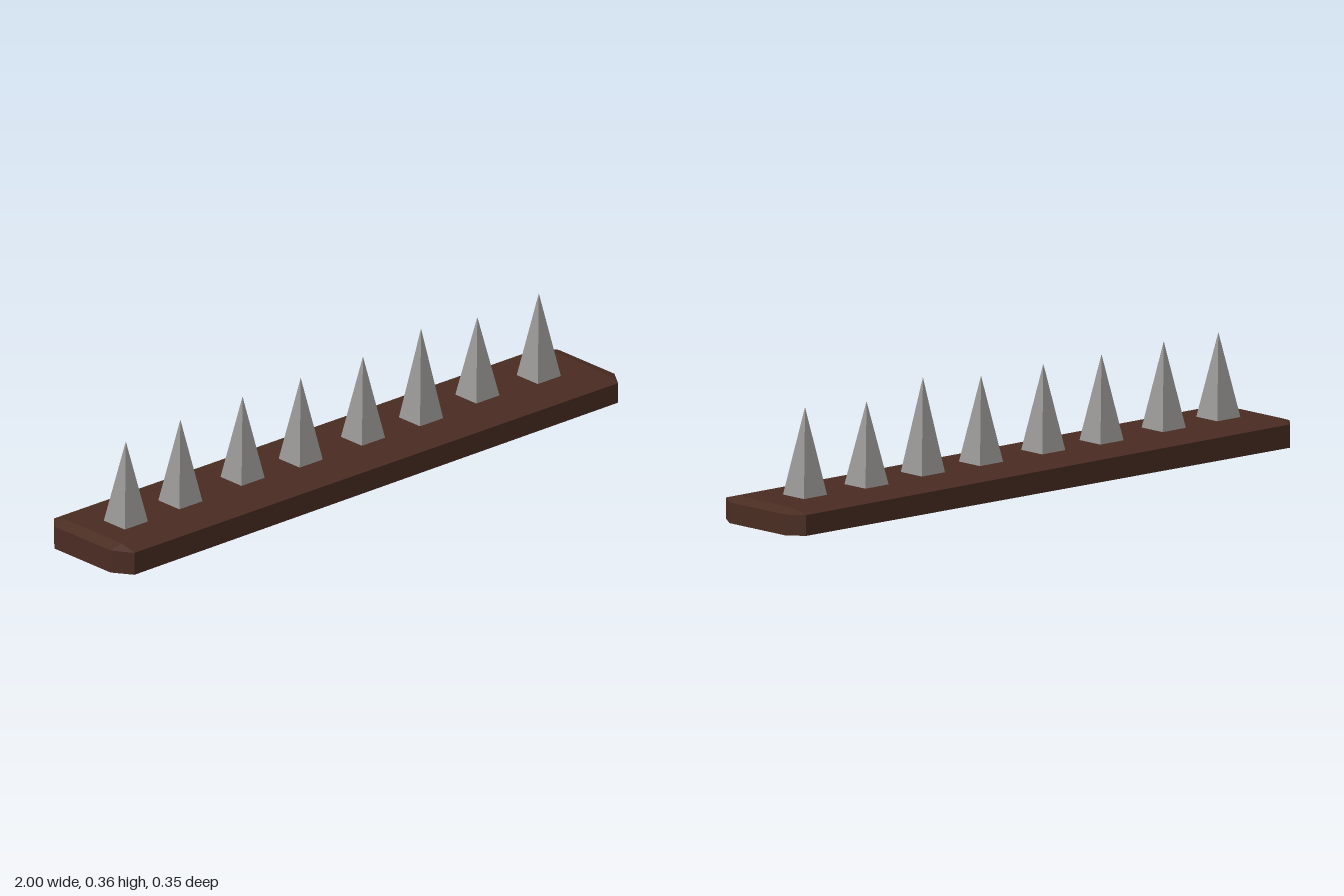
import * as THREE from 'three';

const wood = new THREE.MeshStandardMaterial({ color: 0x4a2c22, side: THREE.DoubleSide });
wood.name = 'dark brown wood';
const metal = new THREE.MeshStandardMaterial({ color: 0x999795 });
metal.name = 'grey metal';

// height of the slightly tilted top surface
const topY = (x) => 0.079 - 0.004 * x;

// give every face its own normal
function faceted(geometry) {
  const flat = geometry.index ? geometry.toNonIndexed() : geometry;
  flat.computeVertexNormals();
  return flat;
}

// hollow plank: clipped-corner outline, upright walls, sloped rim, flat top, open below
function plankGeometry() {
  const outline = [
    [1, 0.115], [1, -0.128], [0.96, -0.175], [-0.96, -0.175],
    [-1, -0.128], [-1, 0.115], [-0.96, 0.175], [0.96, 0.175],
  ];
  const rings = [
    outline.map(([x, z]) => [x, 0, z]),
    outline.map(([x, z]) => [x, topY(x) - 0.013, z]),
    outline.map(([x, z]) => {
      const ix = Math.sign(x) * 0.96;
      return [ix, topY(ix), z > 0 ? 0.12 : -0.125];
    }),
    outline.map(() => [0, topY(0), 0]),
  ];
  const n = outline.length;
  const index = [];
  for (let r = 0; r < rings.length - 1; r++) {
    for (let i = 0; i < n; i++) {
      const a = r * n + i, b = r * n + (i + 1) % n;
      index.push(a, b, b + n);
      if (r < 2) index.push(a, b + n, a + n);
    }
  }
  const geometry = new THREE.BufferGeometry();
  geometry.setAttribute('position', new THREE.Float32BufferAttribute(rings.flat(2), 3));
  geometry.setIndex(index);
  return faceted(geometry);
}

// four-sided spike standing on the plank
function makeSpike(x, z, tip) {
  const base = topY(x) - 0.001;
  const cone = new THREE.ConeGeometry(0.046 * Math.SQRT2, tip - base, 4, 1, true);
  cone.rotateY(Math.PI / 4);
  const spike = new THREE.Mesh(faceted(cone), metal);
  spike.position.set(x, (tip + base) / 2, z);
  spike.name = 'spike';
  return spike;
}

export function createModel() {
  const model = new THREE.Group();
  model.name = 'spikeBoard';

  const plank = new THREE.Mesh(plankGeometry(), wood);
  plank.name = 'plank';
  model.add(plank);

  // x, z and tip height of each spike
  const spikes = [
    [-0.837, 0.003, 0.336], [-0.615, -0.003, 0.34], [-0.36, -0.012, 0.338], [-0.14, 0, 0.338],
    [0.107, 0, 0.336], [0.333, 0.005, 0.362], [0.572, -0.012, 0.325], [0.805, 0, 0.338],
  ];
  for (const [x, z, tip] of spikes) model.add(makeSpike(x, z, tip));
  return model;
}
